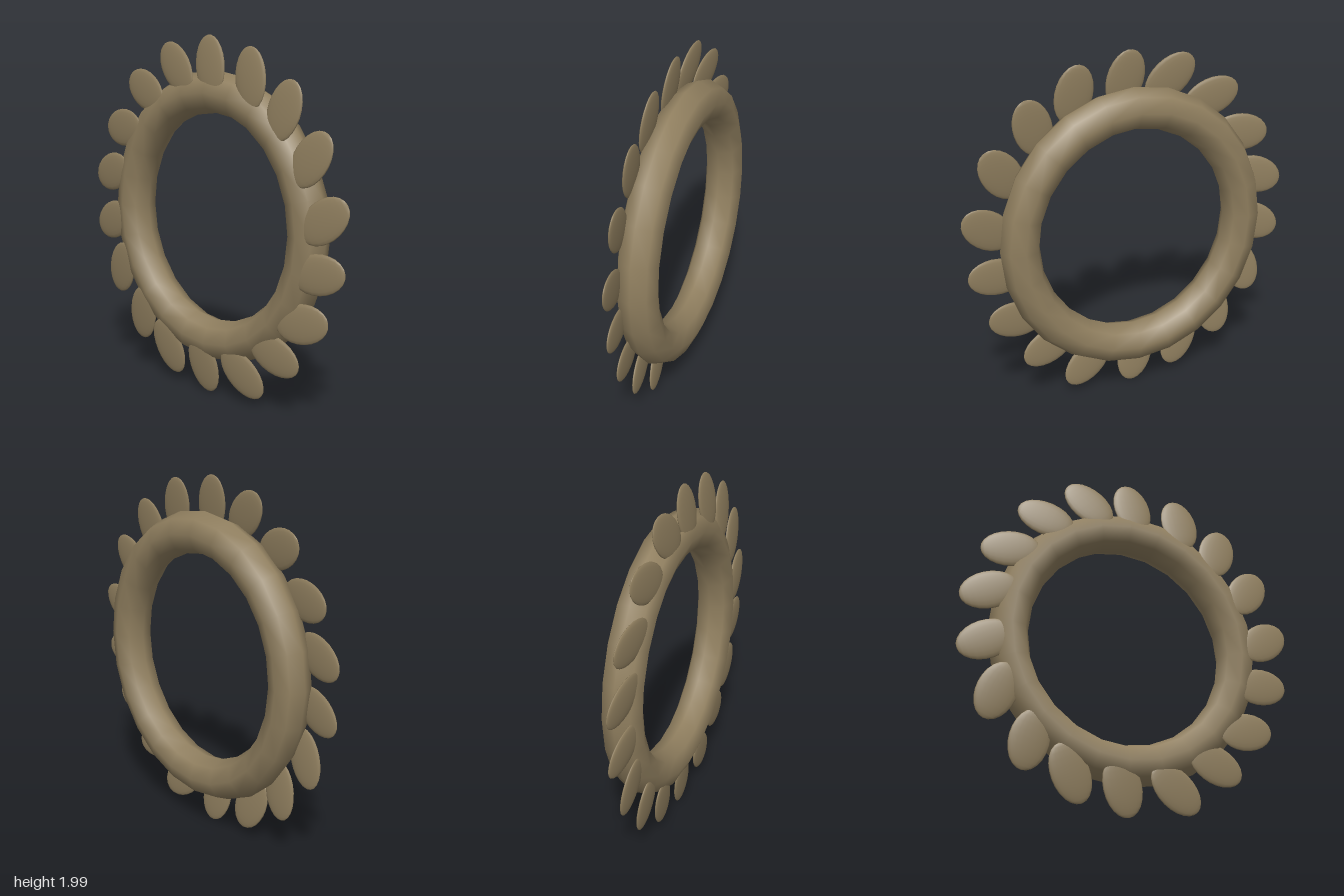
import * as THREE from 'three';

export function createModel() {
  const model = new THREE.Group();
  const brown = new THREE.MeshStandardMaterial({ color: 0x907f5f });
  brown.name = 'wreath brown';

  // Ring: coarse smooth torus, slightly narrower than tall
  const ring = new THREE.Mesh(new THREE.TorusGeometry(0.697, 0.116, 8, 24), brown);
  ring.name = 'ring';
  ring.scale.set(0.945, 1, 0.96);
  ring.position.y = 1;
  model.add(ring);

  // Leaf: thin lens pointing along +x
  const leafGeometry = new THREE.SphereGeometry(1, 20, 12);
  leafGeometry.rotateZ(-Math.PI / 2);
  leafGeometry.scale(0.165, 0.108, 0.017);

  // Leaves clockwise from the top: centre x, centre y, direction in degrees
  const leaves = [
    [0.02, 1.84, 103], [0.31, 1.79, 100], [0.54, 1.64, 73],
    [0.72, 1.41, 55], [0.81, 1.11, 37], [0.775, 0.83, 10],
    [0.675, 0.55, 12], [0.49, 0.34, -20], [0.26, 0.18, -38],
    [-0.035, 0.168, -75], [-0.315, 0.21, -65], [-0.535, 0.365, -102],
    [-0.715, 0.61, -112], [-0.785, 0.89, 205], [-0.785, 1.18, 200],
    [-0.68, 1.45, 186], [-0.49, 1.68, 160], [-0.24, 1.82, 138],
  ];
  const foliage = new THREE.Group();
  foliage.name = 'leaves';
  for (const [x, y, degrees] of leaves) {
    const leaf = new THREE.Mesh(leafGeometry, brown);
    leaf.name = 'leaf';
    leaf.position.set(x, y, 0.068);
    // Tips lean slightly backwards
    leaf.rotation.set(0, THREE.MathUtils.degToRad(6), THREE.MathUtils.degToRad(degrees), 'ZYX');
    foliage.add(leaf);
  }
  model.add(foliage);
  return model;
}
